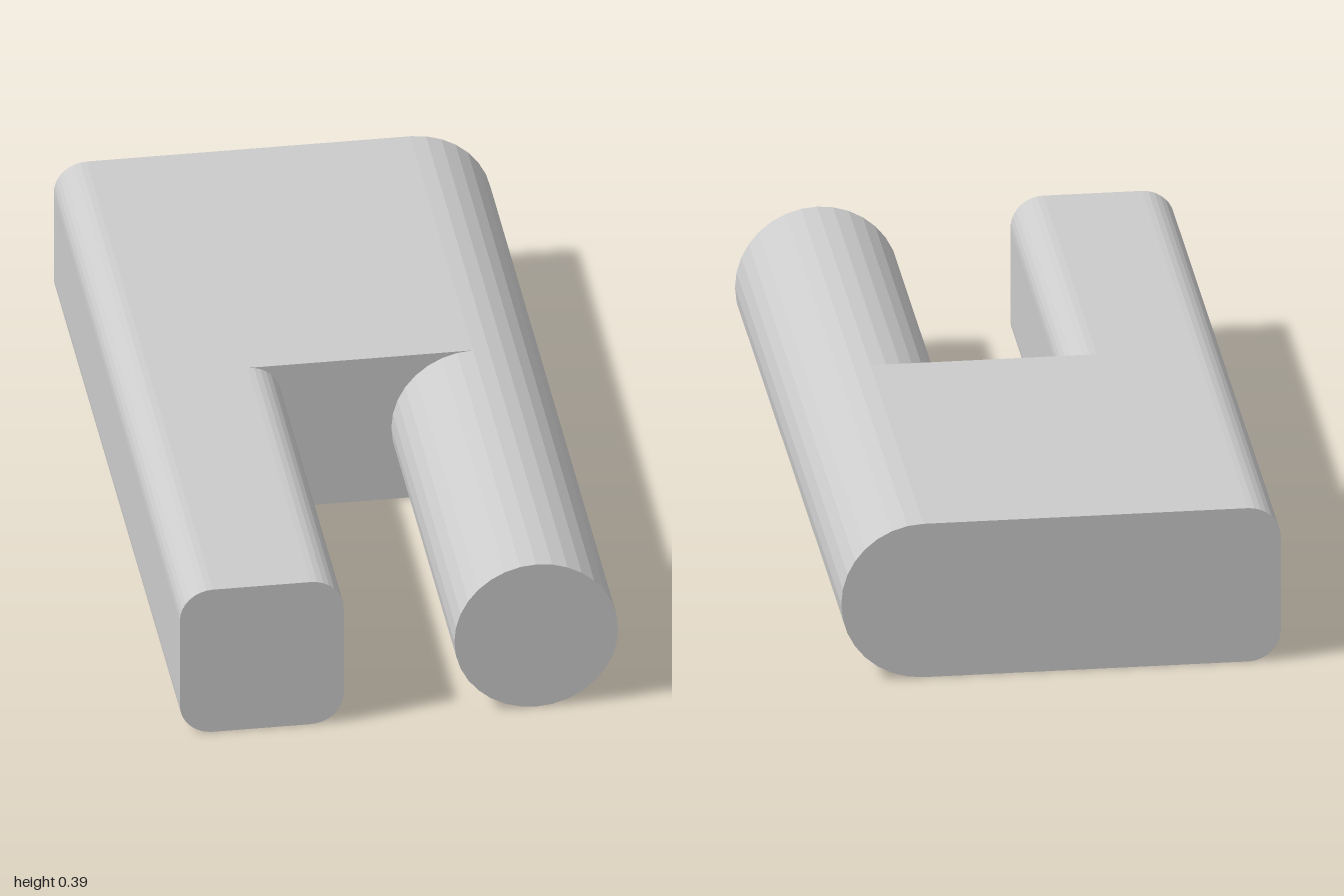
import * as THREE from 'three';

const R = 0.197;          // half the height, and the round bar's radius
const EDGE = 0.527;       // half the width
const CORNER = 0.079;     // rounding of the square bar
const STEP = Math.PI / 16; // one facet of a 32-sided circle

// Points along an arc, counter-clockwise, starting at a quarter turn
function arc(cx, cy, r, startQuarter, quarters) {
  return Array.from({ length: quarters * 8 + 1 }, (_, i) => {
    const a = startQuarter * Math.PI / 2 + i * STEP;
    return new THREE.Vector2(cx + r * Math.cos(a), cy + r * Math.sin(a));
  });
}

export function createModel() {
  const group = new THREE.Group();
  const material = new THREE.MeshStandardMaterial({ color: 0xcccccc, flatShading: true });

  function bar(name, points, z0, z1) {
    const geometry = new THREE.ExtrudeGeometry(new THREE.Shape(points), {
      depth: z1 - z0, bevelEnabled: false, steps: 1,
    });
    const mesh = new THREE.Mesh(geometry, material);
    mesh.position.z = z0;
    mesh.name = name;
    group.add(mesh);
  }

  const roundX = EDGE - R;
  const squareL = -EDGE + CORNER, squareR = -EDGE + 2 * R - CORNER;
  const low = CORNER, high = 2 * R - CORNER;
  const outerCorners = [...arc(squareL, high, CORNER, 1, 1), ...arc(squareL, low, CORNER, 2, 1)];

  // Solid rear half: round on the left side, rounded corners on the right
  bar('rearBody', [...arc(roundX, R, R, -1, 2), ...outerCorners], -1, 0);

  // Two prongs reaching forward
  bar('roundProng', arc(roundX, R, R, 0, 4).slice(0, -1), 0, 1);
  bar('squareProng', [
    ...arc(squareR, low, CORNER, -1, 1),
    ...arc(squareR, high, CORNER, 0, 1),
    ...outerCorners,
  ], 0, 1);

  return group;
}
